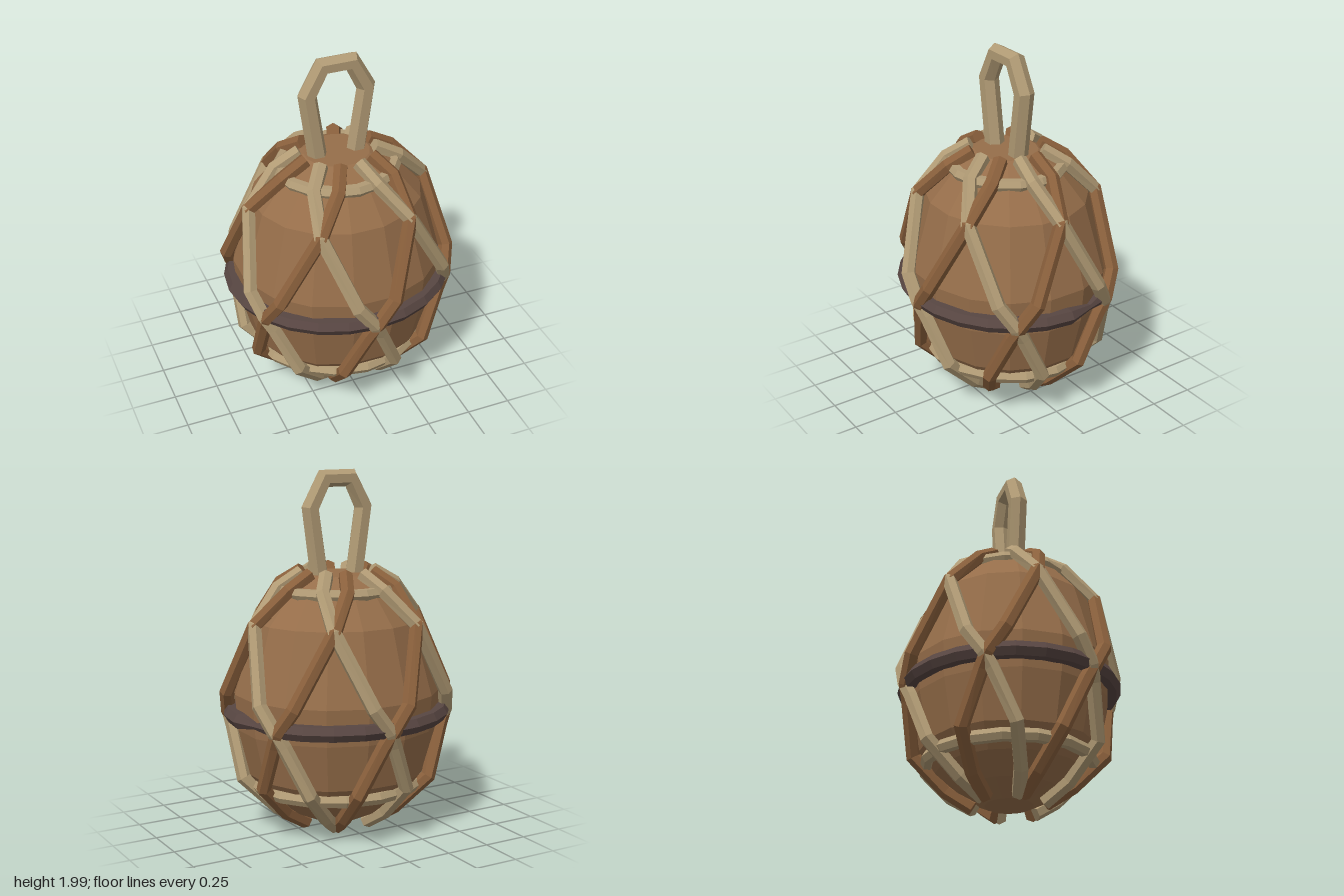
import * as THREE from 'three';

const mat = (name, color, extra = {}) => {
  const m = new THREE.MeshStandardMaterial({ color, flatShading: true, ...extra });
  m.name = name;
  return m;
};

// Hexagonal rope swept along points; outward(p) tells which way one ridge faces
function ropeGeometry(points, radius, outward, closed = false, widths = []) {
  const n = points.length, sides = 6, pos = [], index = [];
  points.forEach((p, i) => {
    const prev = points[closed ? (i + n - 1) % n : Math.max(i - 1, 0)];
    const next = points[closed ? (i + 1) % n : Math.min(i + 1, n - 1)];
    const a = p.clone().sub(prev).normalize();
    const b = next.clone().sub(p).normalize();
    const t = a.add(b).normalize();
    const side = new THREE.Vector3().crossVectors(t, outward(p)).normalize();
    const up = new THREE.Vector3().crossVectors(side, t);
    for (let k = 0; k < sides; k++) {
      const ang = (k / sides) * Math.PI * 2, r = radius * (widths[i] ?? 1);
      const v = p.clone().addScaledVector(up, Math.cos(ang) * r).addScaledVector(side, Math.sin(ang) * r);
      pos.push(v.x, v.y, v.z);
    }
  });
  for (let i = 0; i < (closed ? n : n - 1); i++) {
    const j = (i + 1) % n;
    for (let k = 0; k < sides; k++) {
      const l = (k + 1) % sides;
      const a = i * sides + k, b = i * sides + l, c = j * sides + l, d = j * sides + k;
      index.push(a, d, b, b, d, c);
    }
  }
  if (!closed) {
    const e = (n - 1) * sides;
    for (let k = 1; k < sides - 1; k++) index.push(0, k, k + 1, e, e + k + 1, e + k);
  }
  const g = new THREE.BufferGeometry();
  g.setAttribute('position', new THREE.Float32BufferAttribute(pos, 3));
  g.setIndex(index);
  g.computeVertexNormals();
  return g;
}

const WIDE = 1.07; // the float is slightly wider than deep
const CENTRE = new THREE.Vector3(0, 0.74, 0);
const fromCentre = p => p.clone().sub(CENTRE).normalize();

// Point at a height, radius and angle (degrees from the front towards +x)
function around(deg, r, y) {
  const a = THREE.MathUtils.degToRad(deg);
  return new THREE.Vector3(Math.sin(a) * r * WIDE, y, Math.cos(a) * r);
}

export function createModel() {
  const group = new THREE.Group();
  const wood = mat('body brown', 0x966e4a);
  const tan = mat('light rope', 0xb09a74, { side: THREE.DoubleSide });
  const brown = mat('brown rope', 0x8a603c, { side: THREE.DoubleSide });
  const dark = mat('dark belt', 0x584642, { side: THREE.DoubleSide });
  const add = (name, geo, m) => {
    const mesh = new THREE.Mesh(geo, m);
    mesh.name = name;
    group.add(mesh);
    return mesh;
  };

  // Faceted float
  const profile = [[0, 0.04], [0.13, 0.04], [0.27, 0.11], [0.39, 0.21], [0.475, 0.33], [0.535, 0.59],
    [0.55, 0.79], [0.44, 1.18], [0.28, 1.37], [0.17, 1.43], [0, 1.43]];
  const body = new THREE.LatheGeometry(profile.map(p => new THREE.Vector2(...p)), 16, Math.PI / 16);
  body.scale(WIDE, 1, 1);
  add('float', body, wood);

  // Net: six strands winding each way, as [angle, radius, height]
  const strand = [[-15, 0.19, 1.44], [-11, 0.32, 1.36], [0, 0.475, 1.18], [20, 0.58, 0.79],
    [29, 0.575, 0.66], [33, 0.55, 0.58], [46, 0.505, 0.31], [52, 0.33, 0.13], [57, 0.19, 0.04]];
  for (let k = 0; k < 6; k++) {
    for (const s of [1, -1]) {
      const pts = strand.map(([a, r, y]) => around(30 + 60 * k + s * a, r, y));
      add(s > 0 ? 'lightStrand' : 'brownStrand', ropeGeometry(pts, 0.041, fromCentre), s > 0 ? tan : brown);
    }
  }

  // Horizontal hoops
  const hoop = (r, y, n) => Array.from({ length: n }, (_, i) => around((i * 360) / n, r, y));
  const level = p => new THREE.Vector3(p.x, 0, p.z).normalize();
  add('upperHoop', ropeGeometry(hoop(0.295, 1.345, 16), 0.037, level, true), tan);
  add('lowerHoop', ropeGeometry(hoop(0.44, 0.265, 16), 0.037, level, true), tan);

  // Belt, pinched where its ends meet
  const pinch = Array.from({ length: 24 }, (_, i) => (i === 7 ? 0.4 : 1));
  add('belt', ropeGeometry(hoop(0.558, 0.67, 24), 0.046, level, true, pinch), dark);

  // Hanging loop
  const half = [[0.11, 1.41], [0.165, 1.79], [0.082, 1.946]];
  const loop = [...half.map(([x, y]) => [-x, y]), ...half.slice().reverse()]
    .map(([x, y]) => new THREE.Vector3(x, y, 0));
  const loopCentre = new THREE.Vector3(0, 1.7, 0);
  add('hangingLoop', ropeGeometry(loop, 0.054, p => p.clone().sub(loopCentre).normalize()), tan);

  return group;
}
